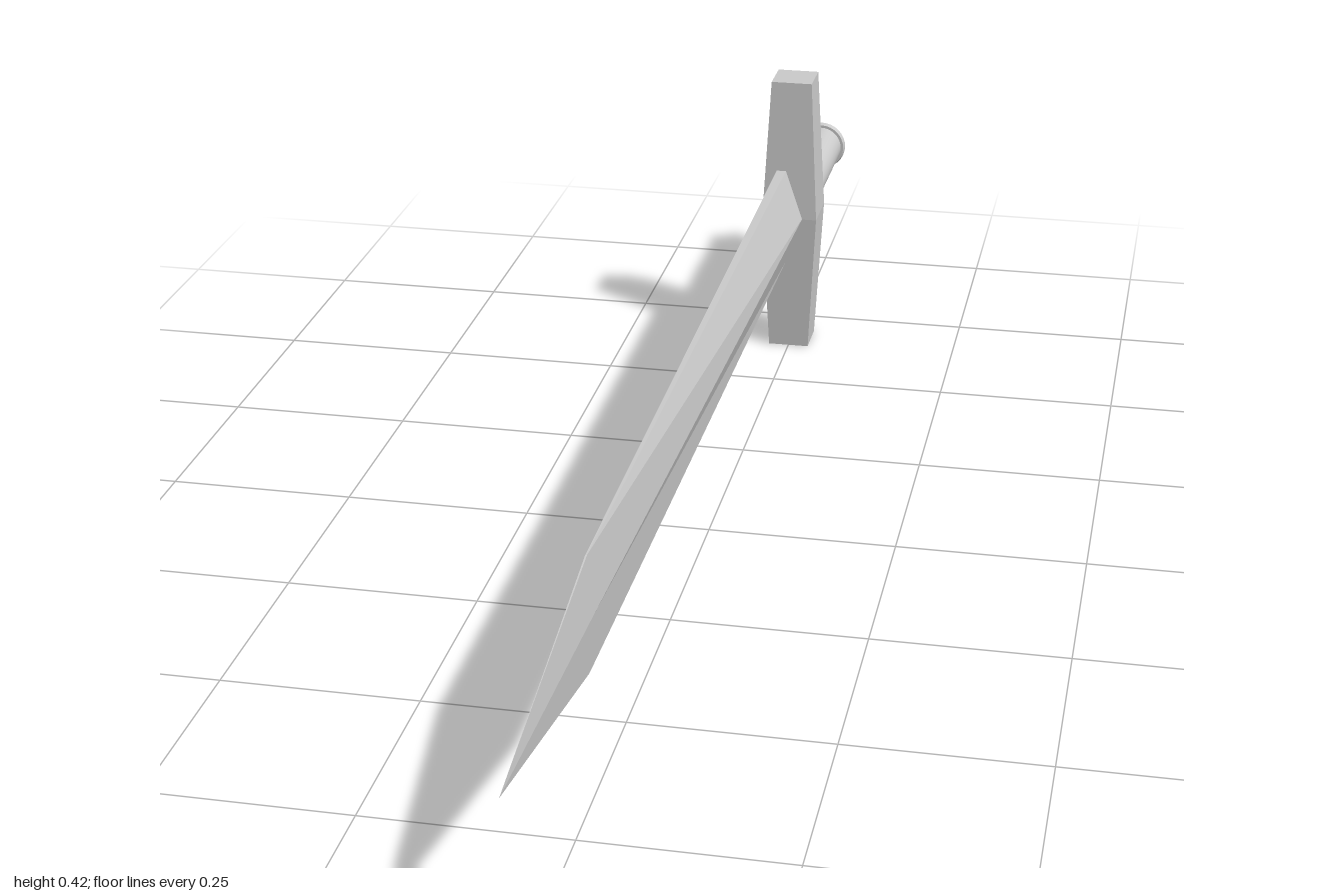
import * as THREE from 'three';

const MID_Y = 0.21;
const flat = new THREE.MeshStandardMaterial({ color: 0xcccccc, flatShading: true });
const smooth = new THREE.MeshStandardMaterial({ color: 0xcccccc });

function addMesh(group, name, geometry, material) {
  const mesh = new THREE.Mesh(geometry, material);
  mesh.name = name;
  group.add(mesh);
  return mesh;
}

// Joins equal-length rings of points (counter-clockwise seen from +z) along z
function loft(rings) {
  const n = rings[0].length;
  const index = [];
  for (let i = 0; i < rings.length - 1; i++) {
    for (let j = 0; j < n; j++) {
      const a = i * n + j, b = i * n + ((j + 1) % n);
      index.push(a, b, b + n, a, b + n, a + n);
    }
  }
  for (let j = 1; j < n - 1; j++) index.push(0, j + 1, j); // rear cap
  const geometry = new THREE.BufferGeometry();
  geometry.setAttribute('position', new THREE.Float32BufferAttribute(rings.flat(2), 3));
  geometry.setIndex(index);
  geometry.computeVertexNormals();
  return geometry;
}

// Blade section: flat back on -x, blunt edges, central ridge on +x
function bladeRing(z, back, edge, ridge, half) {
  return [
    [back, MID_Y + half, z],
    [back, MID_Y - half, z],
    [edge, MID_Y - half, z],
    [ridge, MID_Y, z],
    [edge, MID_Y + half, z],
  ];
}

export function createModel() {
  const group = new THREE.Group();
  group.name = 'sword';

  // Blade: base, shoulder, point
  addMesh(group, 'blade', loft([
    bladeRing(-0.64, -0.02, -0.006, 0.02, 0.074),
    bladeRing(0.625, -0.014, -0.012, -0.006, 0.074),
    bladeRing(1, -0.012, -0.012, -0.012, 0),
  ]), flat);

  // Crossguard: a tall box that narrows towards both ends
  const guardGeometry = new THREE.BoxGeometry(0.082, 0.42, 0.078, 1, 2, 1);
  const p = guardGeometry.attributes.position;
  for (let i = 0; i < p.count; i++) {
    if (Math.abs(p.getY(i)) > 0.1) {
      p.setX(i, p.getX(i) * 0.73);
      p.setZ(i, p.getZ(i) * 0.78);
    }
  }
  guardGeometry.computeVertexNormals();
  addMesh(group, 'crossguard', guardGeometry, flat).position.set(0, MID_Y, -0.661);

  // Grip: round rod running back from the guard
  const grip = addMesh(group, 'grip', new THREE.CylinderGeometry(0.032, 0.031, 0.28, 32), smooth);
  grip.rotation.x = -Math.PI / 2;
  grip.position.set(-0.004, MID_Y, -0.82);

  // Pommel: flared collar with a conical cap
  const collar = addMesh(group, 'pommelCollar', new THREE.CylinderGeometry(0.038, 0.036, 0.008, 32), smooth);
  collar.rotation.x = -Math.PI / 2;
  collar.position.set(-0.004, MID_Y, -0.957);
  const cap = addMesh(group, 'pommelCap', new THREE.ConeGeometry(0.038, 0.039, 32), smooth);
  cap.rotation.x = -Math.PI / 2;
  cap.position.set(-0.004, MID_Y, -0.9805);

  return group;
}
